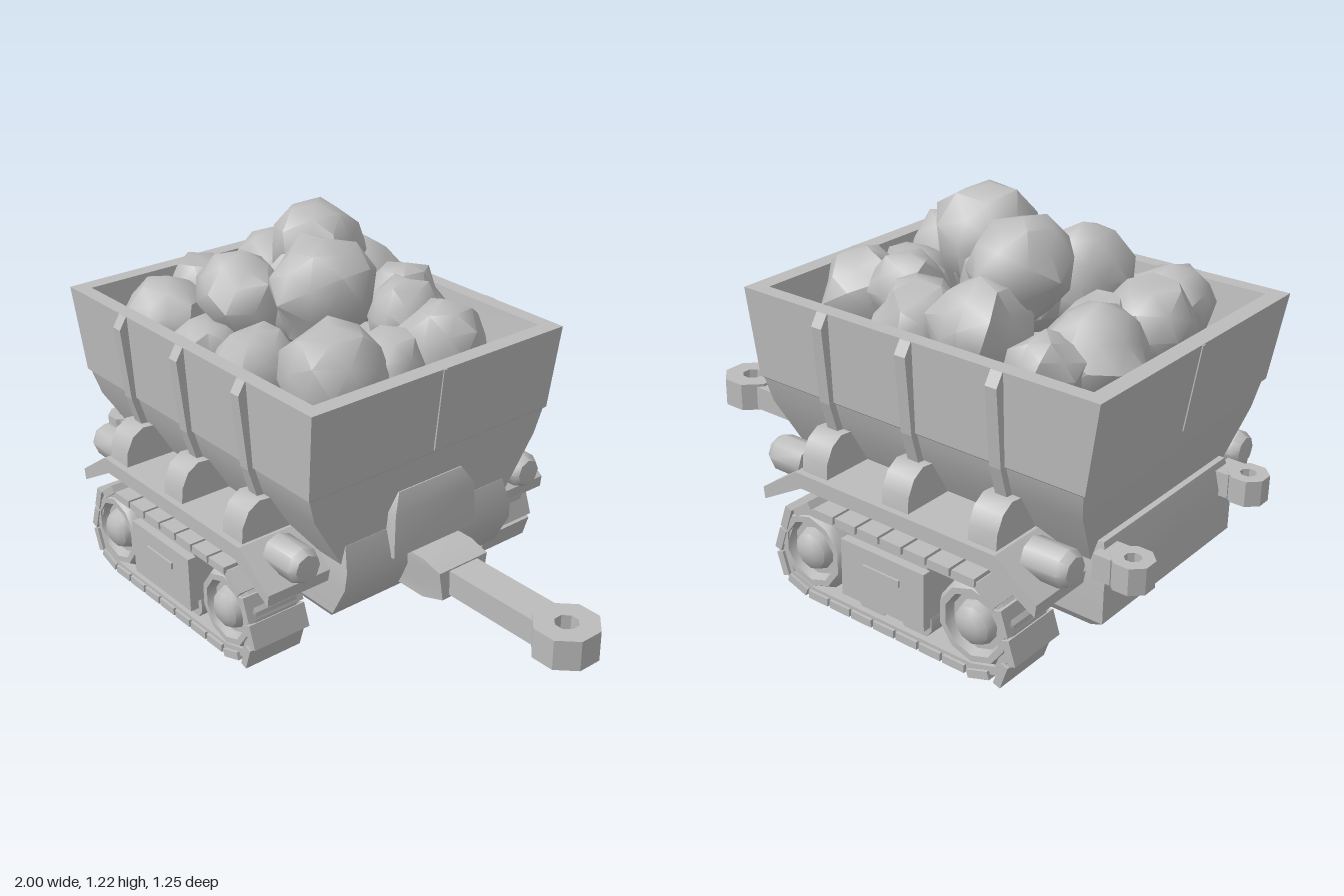
import * as THREE from 'three';
import { toCreasedNormals, mergeVertices } from 'three/addons/utils/BufferGeometryUtils.js';

const grey = new THREE.MeshStandardMaterial({ color: 0xbcbcbc });
grey.name = 'plain grey';

function add(parent, name, geometry, x = 0, y = 0, z = 0) {
  const mesh = new THREE.Mesh(geometry, grey);
  mesh.name = name;
  mesh.position.set(x, y, z);
  parent.add(mesh);
  return mesh;
}

// box given by its lower and upper corners
function box(parent, name, x0, x1, y0, y1, z0, z1) {
  return add(parent, name, new THREE.BoxGeometry(x1 - x0, y1 - y0, z1 - z0),
    (x0 + x1) / 2, (y0 + y1) / 2, (z0 + z1) / 2);
}

// skin over rectangular rings [y, x0, x1, halfDepth], capped at both ends
function loft(rings) {
  const corners = rings.map(([y, a, b, z]) => [[b, y, z], [b, y, -z], [a, y, -z], [a, y, z]]);
  const pos = [];
  const quad = (a, b, c, d) => pos.push(...a, ...b, ...c, ...a, ...c, ...d);
  for (let i = 0; i + 1 < corners.length; i++) {
    for (let j = 0; j < 4; j++) {
      const k = (j + 1) % 4;
      quad(corners[i][j], corners[i][k], corners[i + 1][k], corners[i + 1][j]);
    }
  }
  quad(...[...corners[0]].reverse());
  quad(...corners[corners.length - 1]);
  const g = new THREE.BufferGeometry();
  g.setAttribute('position', new THREE.Float32BufferAttribute(pos, 3));
  g.computeVertexNormals();
  return toCreasedNormals(g, 0.5);
}

const points = (list) => list.map(([x, y]) => new THREE.Vector2(x, y));

// extrusion centred on its depth
function slab(outline, depth, hole) {
  const shape = new THREE.Shape(points(outline));
  if (hole) shape.holes.push(new THREE.Path(points(hole)));
  return new THREE.ExtrudeGeometry(shape, { depth, bevelEnabled: false }).translate(0, 0, -depth / 2);
}

function polygon(r, n) {
  return Array.from({ length: n }, (_, i) => {
    const a = ((i + 0.5) / n) * Math.PI * 2;
    return [r * Math.cos(a), r * Math.sin(a)];
  });
}

let seed = 11;
function random() {
  seed = (seed * 16807) % 2147483647;
  return seed / 2147483647;
}

// lumpy boulder with softened facets
function rockGeometry(r) {
  let g = new THREE.IcosahedronGeometry(r, 1);
  g.deleteAttribute('normal');
  g.deleteAttribute('uv');
  g = mergeVertices(g, 1e-4);
  const p = g.attributes.position;
  for (let i = 0; i < p.count; i++) {
    const s = 0.86 + random() * 0.28;
    p.setXYZ(i, p.getX(i) * s, p.getY(i) * s, p.getZ(i) * s);
  }
  g.rotateY(random() * 6);
  return toCreasedNormals(g, 0.9);
}

// one running side, centred on its own x = 0 and facing +z
function buildSide() {
  const side = new THREE.Group();
  const outer = [[-0.33, 0.02], [0.33, 0.02], [0.42, 0.05], [0.45, 0.14], [0.41, 0.26],
    [0.33, 0.32], [-0.33, 0.32], [-0.41, 0.26], [-0.45, 0.14], [-0.42, 0.05]];
  const inner = outer.map(([x, y]) => [x * 0.94, 0.17 + (y - 0.17) * 0.84]);
  add(side, 'trackBand', slab(outer, 0.19, inner), 0, 0, 0.495);

  // track shoes spaced along the band
  const loop = new THREE.CurvePath();
  outer.forEach((p, i) => {
    const q = outer[(i + 1) % outer.length];
    loop.add(new THREE.LineCurve(new THREE.Vector2(...p), new THREE.Vector2(...q)));
  });
  const count = 24;
  for (let i = 0; i < count; i++) {
    const u = (i + 0.5) / count;
    const p = loop.getPointAt(u), t = loop.getTangentAt(u);
    const shoe = add(side, 'trackShoe', new THREE.BoxGeometry(0.08, 0.026, 0.21), p.x, p.y, 0.495);
    shoe.rotation.z = Math.atan2(t.y, t.x);
  }

  // main wheels with recessed rim and domed hub
  const wheel = points([[0, -0.08], [0.135, -0.08], [0.135, 0.075], [0.12, 0.1], [0.1, 0.1],
    [0.09, 0.07], [0.07, 0.07], [0.06, 0.1], [0.035, 0.118], [0, 0.122]]);
  for (const x of [-0.315, 0.315]) {
    const g = new THREE.LatheGeometry(wheel, 10).rotateX(Math.PI / 2);
    add(side, 'wheel', toCreasedNormals(g, 0.6), x, 0.175, 0.495);
  }
  for (const x of [-0.085, 0.085]) {
    const g = new THREE.CylinderGeometry(0.065, 0.065, 0.15, 10).rotateX(Math.PI / 2);
    add(side, 'roller', toCreasedNormals(g, 0.7), x, 0.09, 0.495);
  }

  // gearbox cover with handle, and brackets to the chassis
  box(side, 'gearboxBody', -0.15, 0.15, 0.12, 0.3, 0.42, 0.59);
  box(side, 'gearboxCover', -0.16, 0.16, 0.1, 0.29, 0.59, 0.62);
  box(side, 'coverHandle', -0.07, 0.07, 0.215, 0.237, 0.62, 0.627);
  box(side, 'lowerBracket', -0.3, 0.3, 0.145, 0.165, 0.3, 0.43);
  box(side, 'trackHanger', -0.4, 0.4, 0.265, 0.38, 0.3, 0.44);

  // fender bent down at both ends
  const fender = [[-0.52, 0.28], [-0.36, 0.37], [0.36, 0.37], [0.52, 0.28],
    [0.525, 0.32], [0.38, 0.42], [-0.38, 0.42], [-0.525, 0.32]];
  add(side, 'fender', slab(fender, 0.24), 0, 0, 0.46);

  // hopper ribs and their feet, drawn in the z-y plane
  const rib = [[0.3, 0.38], [0.39, 0.4], [0.475, 0.54], [0.505, 0.64], [0.53, 0.89], [0.505, 0.93],
    [0.47, 0.93], [0.45, 0.64], [0.42, 0.54]];
  const foot = [[0.34, 0.4], [0.56, 0.4], [0.555, 0.47], [0.53, 0.52], [0.49, 0.545], [0.44, 0.54]];
  for (const x of [-0.32, 0, 0.32]) {
    add(side, 'hopperRib', slab(rib, 0.04).rotateY(-Math.PI / 2), x, 0, 0);
    add(side, 'ribFoot', toCreasedNormals(slab(foot, 0.1).rotateY(-Math.PI / 2), 0.8), x, 0, 0);
  }

  // rounded buffers at the fender ends
  const buffer = points([[0, -0.1], [0.06, -0.1], [0.06, 0.02], [0.045, 0.045], [0, 0.05]]);
  for (const s of [-1, 1]) {
    const g = new THREE.LatheGeometry(buffer, 8).rotateZ(-s * Math.PI / 2);
    add(side, 'endBuffer', toCreasedNormals(g, 0.9), s * 0.525, 0.39, 0.465);
  }
  return side;
}

export function createModel() {
  const model = new THREE.Group();
  model.name = 'oreWagon';

  // open hopper: outside up with a plated upper band, over the rim, down to the bed
  add(model, 'hopper', loft([
    [0.33, -0.81, 0.29, 0.325], [0.55, -0.86, 0.312, 0.455], [0.635, -0.875, 0.322, 0.48],
    [0.642, -0.885, 0.33, 0.488], [0.93, -0.93, 0.367, 0.502],
    [0.93, -0.875, 0.31, 0.452], [0.79, -0.85, 0.29, 0.43]]));
  for (const [x, tilt] of [[0.35, -0.12], [-0.908, 0.154]]) {
    add(model, 'endSeam', new THREE.BoxGeometry(0.008, 0.28, 0.014), x, 0.79, 0).rotation.z = tilt;
  }

  // underframe
  add(model, 'chassis', loft([[0.14, -0.82, 0.23, 0.33], [0.17, -0.87, 0.26, 0.35],
    [0.28, -0.87, 0.32, 0.35], [0.34, -0.87, 0.325, 0.345], [0.42, -0.85, 0.3, 0.33]]));
  add(model, 'bellyPlate', loft([[0.12, -0.55, 0.08, 0.1], [0.15, -0.58, 0.11, 0.12]]));
  add(model, 'frontHousing', loft([[0.33, 0.1, 0.34, 0.17], [0.48, 0.1, 0.34, 0.165],
    [0.54, 0.1, 0.315, 0.13]]));

  // drawbar with towing eye
  add(model, 'drawbarMount', loft([[0.18, 0.2, 0.38, 0.085], [0.21, 0.2, 0.47, 0.085],
    [0.31, 0.2, 0.47, 0.1], [0.33, 0.2, 0.4, 0.1]]));
  box(model, 'drawbar', 0.44, 0.83, 0.22, 0.305, -0.058, 0.058);
  add(model, 'towingEye', slab(polygon(0.105, 8), 0.1, polygon(0.038, 8)).rotateX(-Math.PI / 2), 0.9, 0.265, 0);

  // rear lugs
  for (const z of [-0.32, 0.32]) {
    add(model, 'rearLug', slab(polygon(0.065, 8), 0.085, polygon(0.026, 8)).rotateX(-Math.PI / 2), -0.94, 0.36, z);
    box(model, 'lugArm', -0.9, -0.84, 0.32, 0.4, z - 0.05, z + 0.05);
  }

  // both running sides
  for (const [name, turn] of [['leftSide', 0], ['rightSide', Math.PI]]) {
    const side = buildSide();
    side.name = name;
    side.position.x = -0.28;
    side.rotation.y = turn;
    model.add(side);
  }

  // heap of rocks: x, y, z, radius
  const rocks = [
    [-0.7, 0.9, -0.18, 0.15], [-0.64, 0.89, -0.34, 0.11], [-0.38, 0.92, -0.3, 0.15],
    [-0.4, 1.07, -0.13, 0.16], [-0.17, 0.9, -0.32, 0.13], [0.14, 0.88, -0.2, 0.14],
    [-0.03, 0.93, -0.2, 0.12], [-0.12, 1.05, 0.07, 0.17], [-0.4, 0.97, 0.17, 0.15],
    [-0.68, 0.88, 0.13, 0.14], [-0.63, 0.87, 0.31, 0.14], [-0.15, 0.84, 0.31, 0.14],
    [0.11, 0.88, 0.23, 0.17], [0.13, 0.85, 0.02, 0.13], [-0.38, 0.82, 0.33, 0.12],
    [-0.28, 0.95, 0, 0.16], [-0.57, 0.86, 0, 0.13]];
  for (const [x, y, z, r] of rocks) add(model, 'rock', rockGeometry(r), x, y, z);

  return model;
}
